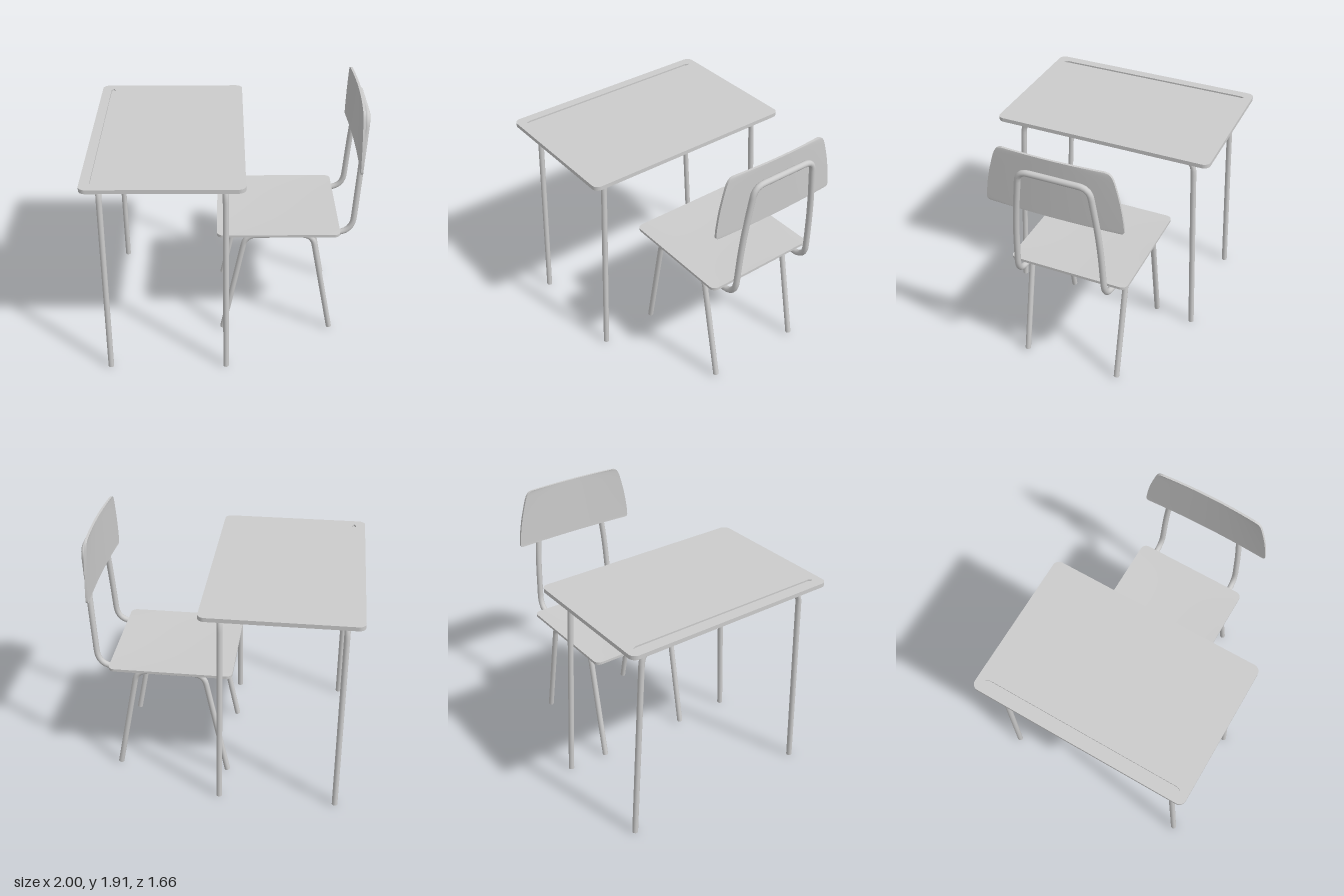
import * as THREE from 'three';

const material = new THREE.MeshStandardMaterial({ color: 0xcccccc });
const V = (x, y, z) => new THREE.Vector3(x, y, z);

function add(parent, name, geometry) {
  const mesh = new THREE.Mesh(geometry, material);
  mesh.name = name;
  parent.add(mesh);
  return mesh;
}

// Bent steel tube: straight runs through the points, each corner rounded over its trim length
function bentTube(parent, name, points, trims, radius) {
  const path = new THREE.CurvePath();
  let from = points[0];
  for (let i = 1; i < points.length - 1; i++) {
    const p = points[i];
    const toward = q => p.clone().add(q.clone().sub(p).setLength(trims[i - 1]));
    const a = toward(points[i - 1]), b = toward(points[i + 1]);
    path.add(new THREE.LineCurve3(from, a));
    path.add(new THREE.QuadraticBezierCurve3(a, p, b));
    from = b;
  }
  path.add(new THREE.LineCurve3(from, points[points.length - 1]));

  const group = new THREE.Group();
  group.name = name;
  parent.add(group);
  add(group, 'tube', new THREE.TubeGeometry(path, 140, radius, 14));
  // Closed tube ends
  for (const t of [0, 1]) {
    const cap = add(group, 'tubeEnd', new THREE.CircleGeometry(radius, 14));
    const outward = path.getTangentAt(t).multiplyScalar(t ? 1 : -1);
    cap.position.copy(path.getPointAt(t));
    cap.quaternion.setFromUnitVectors(V(0, 0, 1), outward);
  }
}

// Thin board lying flat: rows of [x, half width]; sag(u, v) lowers it, with u and v from -1 to 1
function board(rows, thickness, sag) {
  const n = rows.length - 1;
  const geo = new THREE.BoxGeometry(2, thickness, 2, n, 1, 24);
  const pos = geo.attributes.position;
  const first = rows[0][0], length = rows[n][0] - first;
  for (let i = 0; i < pos.count; i++) {
    const [x, half] = rows[Math.round((pos.getX(i) + 1) / 2 * n)];
    const u = (x - first) / length * 2 - 1, v = pos.getZ(i);
    pos.setXYZ(i, x, pos.getY(i) - sag(u, v), v * half);
  }
  geo.computeVertexNormals();
  return geo;
}

function roundedRect(x0, x1, half, r) {
  const s = new THREE.Shape();
  s.moveTo(x0 + r, -half);
  s.lineTo(x1 - r, -half);
  s.absarc(x1 - r, -half + r, r, -Math.PI / 2, 0);
  s.absarc(x1 - r, half - r, r, 0, Math.PI / 2);
  s.absarc(x0 + r, half - r, r, Math.PI / 2, Math.PI);
  s.absarc(x0 + r, -half + r, r, Math.PI, Math.PI * 1.5);
  return s;
}

function createDesk() {
  const desk = new THREE.Group();
  desk.name = 'desk';

  // Top in two layers; the upper one is cut by the pencil groove
  const slab = (name, shape, y, depth) => {
    const geo = new THREE.ExtrudeGeometry(shape, { depth, bevelEnabled: false, curveSegments: 8 });
    add(desk, name, geo.rotateX(-Math.PI / 2).translate(0, y, 0));
  };
  const grooved = roundedRect(-1, 0.11, 0.83, 0.05);
  grooved.holes.push(new THREE.Path([
    [-0.915, -0.77], [-0.93, -0.74], [-0.93, 0.74],
    [-0.915, 0.77], [-0.9, 0.74], [-0.9, -0.74],
  ].map(p => new THREE.Vector2(...p))));
  slab('deskTopBase', roundedRect(-1, 0.11, 0.83, 0.05), 1.545, 0.018);
  slab('deskTopSurface', grooved, 1.563, 0.012);

  // One hoop of legs under each long edge
  for (const [name, x] of [['rightDeskLegs', -0.885], ['leftDeskLegs', -0.025]]) {
    bentTube(desk, name, [
      V(x, 0, 0.745), V(x, 1.525, 0.678), V(x, 1.525, -0.678), V(x, 0, -0.745),
    ], [0.125, 0.125], 0.021);
  }
  return desk;
}

function createChair() {
  const chair = new THREE.Group();
  chair.name = 'chair';
  chair.position.z = -0.075;

  // Seat with rounded corners and a shallow dish
  const seatRows = [];
  const r = 0.045, half = 0.445, x0 = -0.09, x1 = 0.82;
  for (let i = 0; i <= 6; i++) {
    const a = i / 6 * Math.PI / 2;
    seatRows.push([x0 + r * (1 - Math.cos(a)), half - r + r * Math.sin(a)]);
  }
  for (let i = 1; i < 14; i++) seatRows.push([x0 + r + (x1 - x0 - 2 * r) * i / 14, half]);
  for (let i = 6; i >= 0; i--) {
    const a = i / 6 * Math.PI / 2;
    seatRows.push([x1 - r * (1 - Math.cos(a)), half - r + r * Math.sin(a)]);
  }
  add(chair, 'seat', board(seatRows, 0.02, (u, v) => 0.01 * (1 - u * u) * (1 - v * v)))
    .position.y = 0.906;

  // Backrest, tapering upward and bowed across its width
  const backRows = [
    [1.465, 0.48], [1.469, 0.492], [1.477, 0.499], [1.49, 0.5], [1.54, 0.496],
    [1.62, 0.484], [1.7, 0.468], [1.78, 0.447], [1.84, 0.429], [1.87, 0.417],
    [1.888, 0.405], [1.9, 0.388], [1.905, 0.365],
  ];
  const back = add(chair, 'backrest', board(backRows, 0.017, (u, v) => 0.016 * (1 - v * v)));
  back.rotation.z = Math.PI / 2;
  back.position.set(0.922, 0, 0.027);

  // Seat rails and back hoop in one tube
  const side = [[0.05, 0.87, 0.333], [0.915, 0.87, 0.333], [0.945, 1.36, 0.31], [0.976, 1.788, 0.252]];
  bentTube(chair, 'backFrame', [
    ...side.map(([x, y, z]) => V(x, y, z)),
    ...side.slice().reverse().map(([x, y, z]) => V(x, y, -z)),
  ], [0.13, 0.2, 0.075, 0.075, 0.2, 0.13], 0.022);

  // Splayed leg hoops, one on each side
  for (const [name, z] of [['frontChairLegs', 0.37], ['backChairLegs', -0.37]]) {
    bentTube(chair, name, [
      V(-0.05, 0.012, z), V(0.123, 0.87, z), V(0.62, 0.87, z), V(0.785, 0.012, z),
    ], [0.085, 0.085], 0.021);
  }
  return chair;
}

export function createModel() {
  const model = new THREE.Group();
  model.name = 'schoolDeskAndChair';
  model.add(createDesk(), createChair());
  return model;
}
